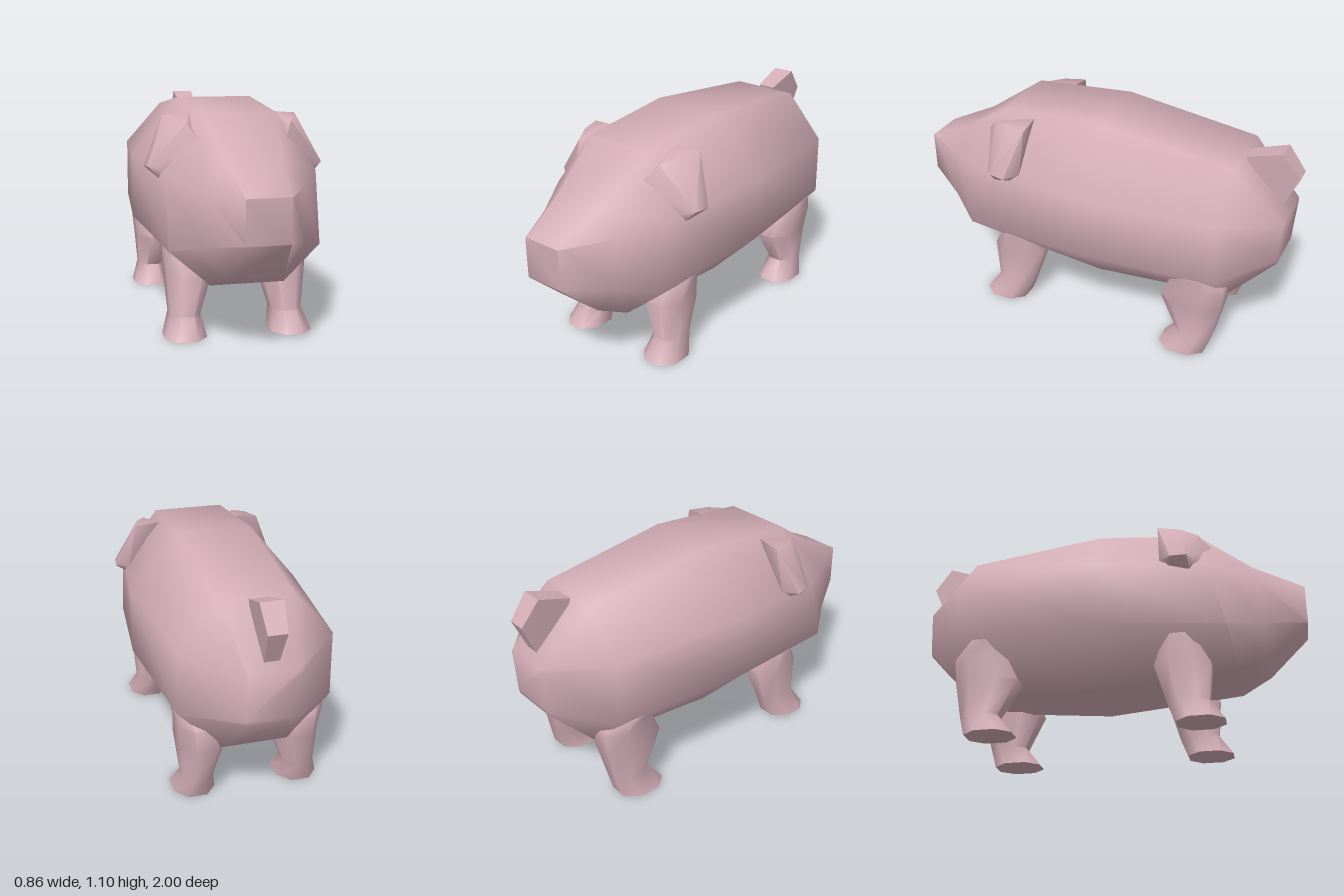
import * as THREE from 'three';
import { toCreasedNormals } from 'three/addons/utils/BufferGeometryUtils.js';
import { ConvexGeometry } from 'three/addons/geometries/ConvexGeometry.js';

const pink = new THREE.MeshStandardMaterial({ color: 0xd3adb6 });
pink.name = 'pink skin';
const CREASE = 1.05;

function addMesh(parent, name, geometry) {
  const mesh = new THREE.Mesh(toCreasedNormals(geometry, CREASE), pink);
  mesh.name = name;
  parent.add(mesh);
}

// Joins rings of [x, y, z] points into a closed skin with a cap at each end
function loft(rings) {
  const n = rings[0].length;
  const index = [];
  for (let i = 0; i < rings.length - 1; i++) {
    for (let j = 0; j < n; j++) {
      const a = i * n + j, b = i * n + (j + 1) % n;
      index.push(a, b, b + n, a, b + n, a + n);
    }
  }
  const last = (rings.length - 1) * n;
  for (let j = 1; j < n - 1; j++) {
    index.push(0, j + 1, j, last, last + j, last + j + 1);
  }
  const geometry = new THREE.BufferGeometry();
  geometry.setAttribute('position', new THREE.Float32BufferAttribute(rings.flat(2), 3));
  geometry.setIndex(index);
  geometry.computeVertexNormals();
  return geometry.toNonIndexed();
}

// Eight-sided body section that may lean: z runs from zBottom to zTop
function bodyRing({ zTop, zBottom, top, bottom, half, flatTop, flatBottom, sideLow, sideHigh }) {
  const outline = [
    [half, sideLow], [half, sideHigh], [flatTop, top], [-flatTop, top],
    [-half, sideHigh], [-half, sideLow], [-flatBottom, bottom], [flatBottom, bottom],
  ];
  return outline.map(([x, y]) => {
    const t = (y - bottom) / (top - bottom);
    return [x, y, zBottom + (zTop - zBottom) * t];
  });
}

// Chamfered rectangle at height y, turning counterclockwise seen from above
function legRing([y, x0, x1, z0, z1], side) {
  const cx = side * (x0 + x1) / 2, cz = (z0 + z1) / 2;
  const rx = (x1 - x0) / 2, rz = (z1 - z0) / 2, k = 0.45;
  const unit = [[1, k], [1, -k], [k, -1], [-k, -1], [-1, -k], [-1, k], [-k, 1], [k, 1]];
  return unit.map(([u, v]) => [cx + u * rx, y, cz + v * rz]);
}

// Leg sections: y, inner x, outer x, back z, front z
const frontLeg = [
  [0, 0.16, 0.36, 0.35, 0.58],
  [0.1, 0.18, 0.325, 0.31, 0.51],
  [0.3, 0.12, 0.34, 0.25, 0.525],
  [0.43, 0.15, 0.352, 0.3, 0.45],
];
const backLeg = [
  [0, 0.16, 0.36, -0.68, -0.44],
  [0.1, 0.18, 0.325, -0.71, -0.52],
  [0.28, 0.12, 0.34, -0.745, -0.43],
  [0.4, 0.13, 0.35, -0.755, -0.485],
  [0.475, 0.18, 0.365, -0.69, -0.53],
];

// Corners of the drooping left ear
const earPoints = [
  [0.2, 1.05, 0.3], [0.2, 0.935, 0.57], [0.2, 0.93, 0.35],
  [0.33, 1.04, 0.29], [0.3, 1.035, 0.4], [0.25, 1.02, 0.49],
  [0.43, 0.81, 0.36], [0.42, 0.815, 0.44], [0.36, 0.75, 0.45],
  [0.36, 0.77, 0.34], [0.34, 0.79, 0.5], [0.37, 0.82, 0.3],
];

// Tail outline: x half width, y, z
const tailPoints = [
  [0.045, 1.02, -0.74], [0.035, 0.8, -0.93], [0.035, 0.82, -0.8],
  [0.055, 1.075, -0.91], [0.045, 0.96, -1],
];

export function createModel() {
  const pig = new THREE.Group();
  pig.name = 'pig';

  // Body from rump to snout
  addMesh(pig, 'body', loft([
    { zTop: -0.97, zBottom: -0.955, top: 0.77, bottom: 0.52, half: 0.125, flatTop: 0.115, flatBottom: 0.115, sideLow: 0.54, sideHigh: 0.75 },
    { zTop: -0.72, zBottom: -0.73, top: 1.02, bottom: 0.285, half: 0.365, flatTop: 0.17, flatBottom: 0.16, sideLow: 0.49, sideHigh: 0.8 },
    { zTop: -0.04, zBottom: -0.04, top: 1.1, bottom: 0.225, half: 0.43, flatTop: 0.19, flatBottom: 0.17, sideLow: 0.49, sideHigh: 0.81 },
    { zTop: 0.475, zBottom: 0.65, top: 1.06, bottom: 0.29, half: 0.36, flatTop: 0.18, flatBottom: 0.175, sideLow: 0.45, sideHigh: 0.79 },
    { zTop: 0.75, zBottom: 0.8, top: 0.87, bottom: 0.36, half: 0.23, flatTop: 0.13, flatBottom: 0.13, sideLow: 0.5, sideHigh: 0.75 },
    { zTop: 1, zBottom: 1, top: 0.75, bottom: 0.545, half: 0.102, flatTop: 0.098, flatBottom: 0.098, sideLow: 0.549, sideHigh: 0.746 },
  ].map(bodyRing)));

  // Legs and ears on both sides
  for (const [side, label] of [[1, 'left'], [-1, 'right']]) {
    addMesh(pig, `${label} front leg`, loft(frontLeg.map((r) => legRing(r, side))));
    addMesh(pig, `${label} back leg`, loft(backLeg.map((r) => legRing(r, side))));
    addMesh(pig, `${label} ear`, new ConvexGeometry(
      earPoints.map(([x, y, z]) => new THREE.Vector3(side * x, y, z))));
  }

  // Stubby tail
  addMesh(pig, 'tail', new ConvexGeometry(tailPoints.flatMap(([x, y, z]) =>
    [new THREE.Vector3(x, y, z), new THREE.Vector3(-x, y, z)])));

  return pig;
}
